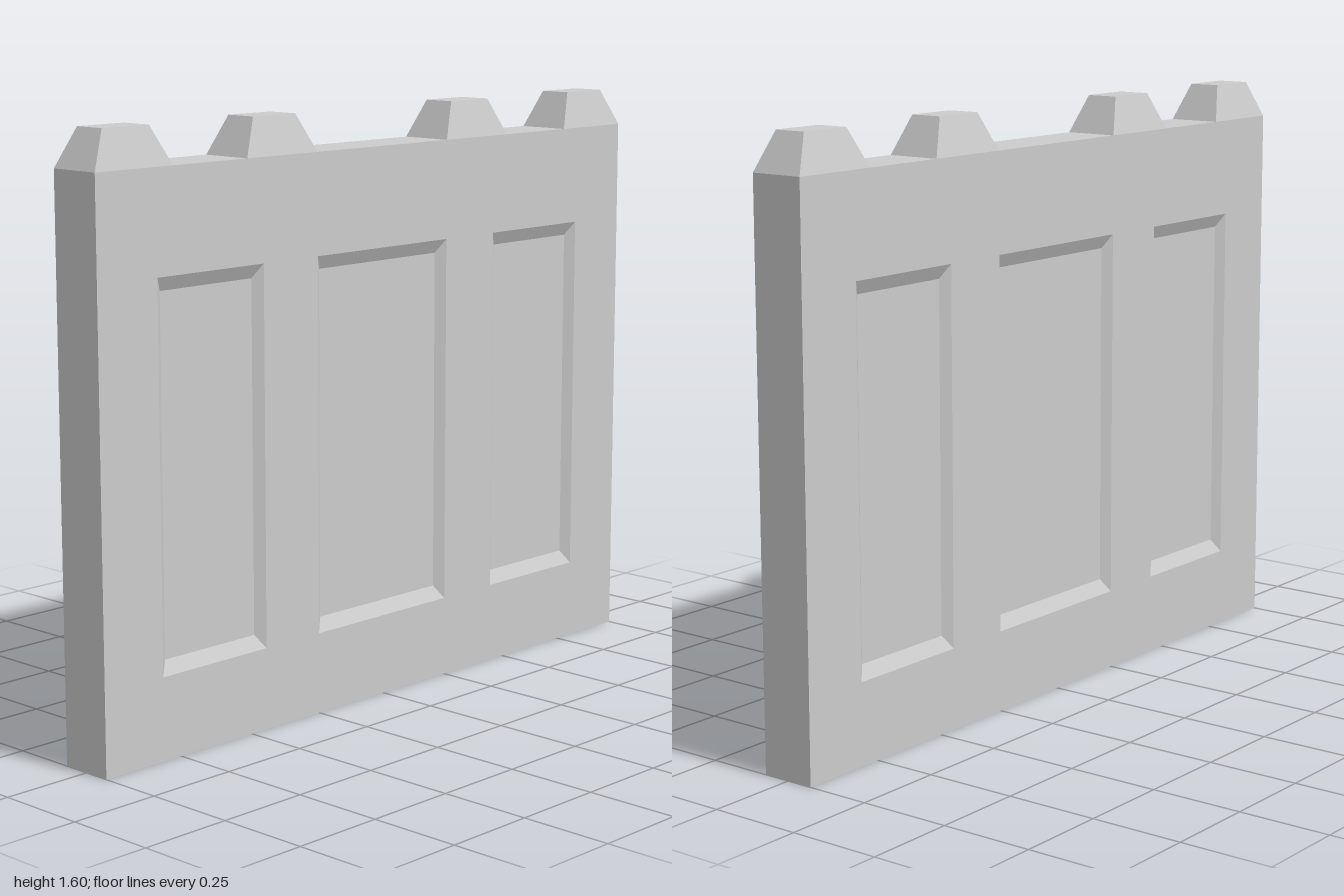
import * as THREE from 'three';

const HALF_T = 0.075, HALF_L = 1, WALL_H = 1.5;
const BOTTOM = 0.22, TOP = 1.23; // recessed panel heights
const DEPTH = 0.02, BEVEL_Y = 0.037, BEVEL_Z = 0.025;
const PANELS = [[-0.807, -0.445], [-0.25, 0.25], [0.445, 0.807]];

const material = new THREE.MeshStandardMaterial({ color: 0xcccccc, flatShading: true });

function addMesh(parent, geometry, name) {
  const mesh = new THREE.Mesh(geometry, material);
  mesh.name = name;
  parent.add(mesh);
  return mesh;
}

// Geometry from four-cornered faces, corners counter-clockwise from outside
function quads(faces) {
  const points = faces.flatMap(([a, b, c, d]) => [a, b, c, a, c, d]);
  const geometry = new THREE.BufferGeometry();
  geometry.setAttribute('position', new THREE.Float32BufferAttribute(points.flat(), 3));
  geometry.computeVertexNormals();
  return geometry;
}

function rectangle(target, z0, z1, y0, y1) {
  target.moveTo(z0, y0);
  target.lineTo(z1, y0);
  target.lineTo(z1, y1);
  target.lineTo(z0, y1);
  target.closePath();
  return target;
}

// Sunken panel: floor and four sloping borders, facing +x
function recess(z0, z1) {
  const corners = (x, dy, dz) => [
    [x, BOTTOM + dy, z0 + dz], [x, TOP - dy, z0 + dz],
    [x, TOP - dy, z1 - dz], [x, BOTTOM + dy, z1 - dz],
  ];
  const outer = corners(HALF_T, 0, 0);
  const inner = corners(HALF_T - DEPTH, BEVEL_Y, BEVEL_Z);
  const borders = outer.map((p, i) => {
    const j = (i + 1) % 4;
    return [p, outer[j], inner[j], inner[i]];
  });
  return quads([inner, ...borders]);
}

// Battlement block tapering towards its top
function battlement() {
  const geometry = new THREE.BoxGeometry(2 * HALF_T, 0.1, 0.25);
  const p = geometry.attributes.position;
  for (let i = 0; i < p.count; i++) {
    if (p.getY(i) > 0) {
      p.setX(i, Math.sign(p.getX(i)) * 0.045);
      p.setZ(i, Math.sign(p.getZ(i)) * 0.075);
    }
  }
  geometry.computeVertexNormals();
  return geometry;
}

// One broad side of the wall, facing +x
function wallSide() {
  const side = new THREE.Group();
  const shape = rectangle(new THREE.Shape(), -HALF_L, HALF_L, 0, WALL_H);
  for (const [z0, z1] of PANELS) {
    shape.holes.push(rectangle(new THREE.Path(), z0, z1, BOTTOM, TOP));
    addMesh(side, recess(z0, z1), 'recessedPanel');
  }
  const face = new THREE.ShapeGeometry(shape).rotateY(Math.PI / 2).translate(HALF_T, 0, 0);
  addMesh(side, face, 'wallFace');
  return side;
}

export function createModel() {
  const model = new THREE.Group();
  model.name = 'battlementWall';

  // Two panelled sides
  for (const [name, angle] of [['leftSide', 0], ['rightSide', Math.PI]]) {
    const side = wallSide();
    side.name = name;
    side.rotation.y = angle;
    model.add(side);
  }

  // Ends, top and base closing the wall
  const t = HALF_T, l = HALF_L, h = WALL_H;
  addMesh(model, quads([
    [[-t, 0, l], [t, 0, l], [t, h, l], [-t, h, l]],
    [[t, 0, -l], [-t, 0, -l], [-t, h, -l], [t, h, -l]],
    [[-t, h, l], [t, h, l], [t, h, -l], [-t, h, -l]],
    [[-t, 0, -l], [t, 0, -l], [t, 0, l], [-t, 0, l]],
  ]), 'wallRim');

  // Battlements along the top
  for (const z of [-0.875, -0.375, 0.375, 0.875]) {
    addMesh(model, battlement(), 'battlement').position.set(0, WALL_H + 0.05, z);
  }
  return model;
}
